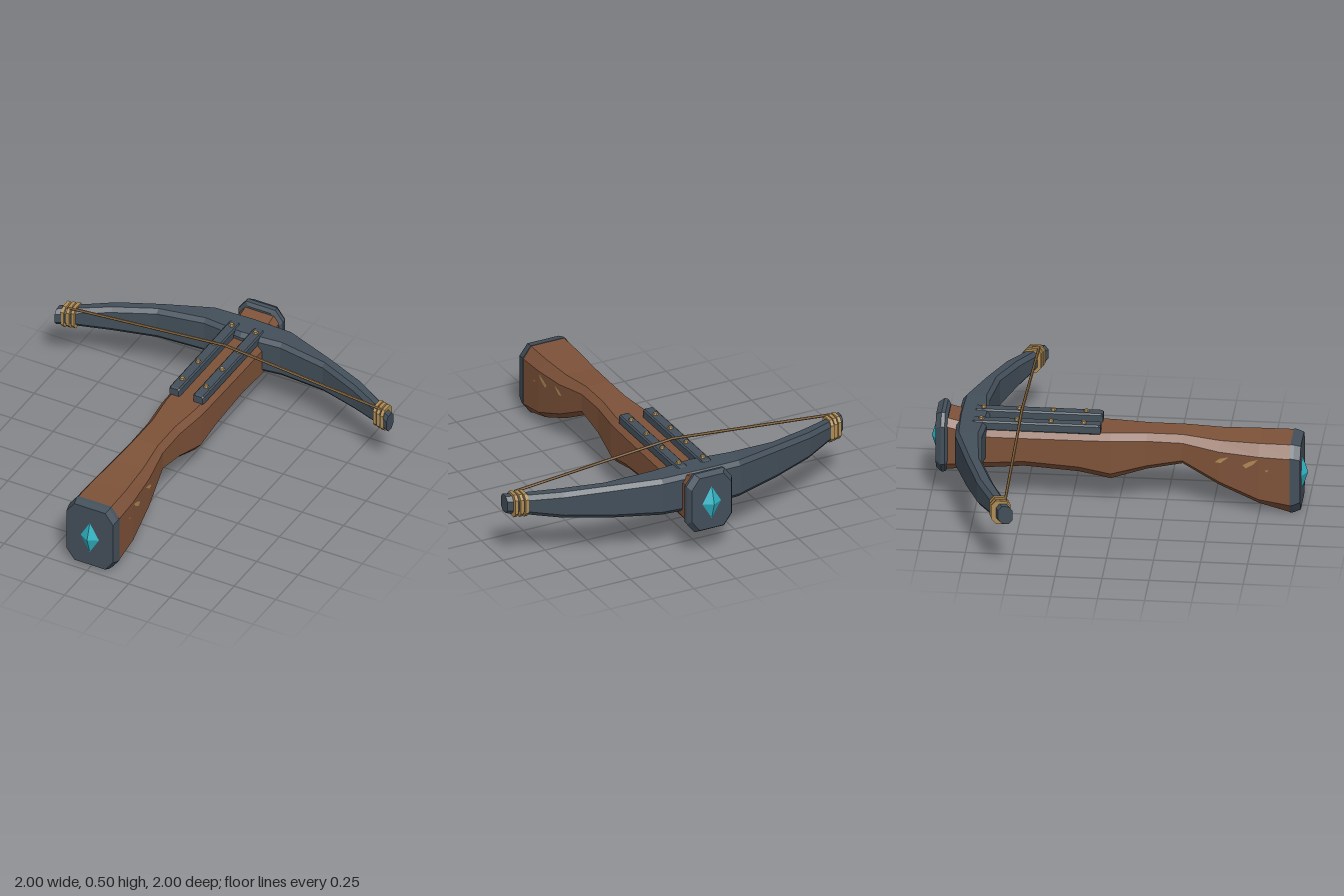
import * as THREE from 'three';

const mat = (name, color, extra = {}) => {
  const m = new THREE.MeshStandardMaterial({ color, flatShading: true, ...extra });
  m.name = name;
  return m;
};

// Eight-cornered section: spans a0..a1 and b0..b1 with cut corners (anticlockwise)
const octagon = (a0, a1, b0, b1, ca, cLow, cHigh = cLow) => [
  [a0 + ca, b0], [a1 - ca, b0], [a1, b0 + cLow], [a1, b1 - cHigh],
  [a1 - ca, b1], [a0 + ca, b1], [a0, b1 - cHigh], [a0, b0 + cLow],
];

// Faceted skin over rings of [x, y, z] ordered along the axis, closed at both ends
function loft(rings) {
  const pos = [];
  const tri = (...p) => p.forEach((q) => pos.push(...q));
  const n = rings[0].length;
  for (let r = 0; r < rings.length - 1; r++) {
    const a = rings[r], b = rings[r + 1];
    for (let i = 0; i < n; i++) {
      const j = (i + 1) % n;
      tri(a[i], a[j], b[j]);
      tri(a[i], b[j], b[i]);
    }
  }
  const first = rings[0], last = rings[rings.length - 1];
  for (let i = 1; i < n - 1; i++) {
    tri(first[0], first[i + 1], first[i]);
    tri(last[0], last[i], last[i + 1]);
  }
  const g = new THREE.BufferGeometry();
  g.setAttribute('position', new THREE.Float32BufferAttribute(pos, 3));
  g.computeVertexNormals();
  return g;
}
const alongZ = (z, pts) => pts.map(([x, y]) => [x, y, z]);
const alongX = (x, pts) => pts.map(([y, z]) => [x, y, z]);

// Stock stations: z, half width, bottom, top, side cut, lower cut, upper cut
const STOCK = [
  [-0.93, 0.115, 0.17, 0.475, 0.03, 0.04, 0.04],
  [-0.85, 0.115, 0.178, 0.455, 0.03, 0.04, 0.04],
  [-0.7, 0.125, 0.195, 0.42, 0.03, 0.04, 0.035],
  [-0.5, 0.125, 0.213, 0.42, 0.03, 0.038, 0.035],
  [-0.21, 0.122, 0.192, 0.42, 0.03, 0.038, 0.035],
  [-0.04, 0.118, 0.157, 0.42, 0.03, 0.038, 0.035],
  [0.15, 0.097, 0.212, 0.42, 0.03, 0.03, 0.035],
  [0.34, 0.097, 0.252, 0.42, 0.03, 0.028, 0.038],
  [0.54, 0.125, 0.142, 0.402, 0.04, 0.035, 0.05],
  [0.75, 0.142, 0.052, 0.4, 0.045, 0.04, 0.06],
  [0.92, 0.146, 0.005, 0.4, 0.047, 0.06, 0.065],
];
const stockHalfWidth = (z) => {
  const k = STOCK.findIndex((s) => s[0] >= z);
  const [a, b] = [STOCK[k - 1], STOCK[k]];
  return THREE.MathUtils.lerp(a[1], b[1], (z - a[0]) / (b[0] - a[0]));
};

export function createModel() {
  const group = new THREE.Group();
  group.name = 'crossbow';
  const wood = mat('wood', 0x7e5239);
  const metal = mat('dark metal', 0x434f5a);
  const gold = mat('gold', 0xb08d55);
  const cord = mat('cord', 0x926e44);
  const crystal = mat('crystal', 0x2fb4c4);
  const scratch = mat('pale wood', 0xae8a55, { side: THREE.DoubleSide });

  const add = (name, geometry, material, x = 0, y = 0, z = 0) => {
    const m = new THREE.Mesh(geometry, material);
    m.name = name;
    m.position.set(x, y, z);
    group.add(m);
    return m;
  };

  // Wooden stock
  add('stock', loft(STOCK.map(([z, w, y0, y1, ca, lo, hi]) =>
    alongZ(z, octagon(-w, w, y0, y1, ca, lo, hi)))), wood);

  // Metal end plates
  const plate = (name, rows) => add(name, loft(rows.map(([z, w, y0, y1]) =>
    alongZ(z, octagon(-w, w, y0, y1, 0.047, 0.062)))), metal);
  plate('buttPlate', [[0.915, 0.148, 0.003, 0.403], [0.935, 0.147, 0.008, 0.4], [0.97, 0.14, 0.022, 0.39]]);
  plate('nosePlate', [[-0.97, 0.118, 0.175, 0.485], [-0.94, 0.135, 0.155, 0.502],
    [-0.92, 0.135, 0.158, 0.498], [-0.905, 0.118, 0.175, 0.48]]);

  // Crystals set into both plates
  const gem = new THREE.OctahedronGeometry(1).scale(0.055, 0.095, 0.03);
  add('rearCrystal', gem, crystal, 0, 0.2, 0.97);
  add('noseCrystal', gem, crystal, 0, 0.328, -0.97);

  // Bow limbs: x, bottom, top, leading z, trailing z
  const half = [
    [0, 0.238, 0.462, -0.862, -0.69],
    [0.23, 0.246, 0.46, -0.855, -0.712],
    [0.5, 0.254, 0.443, -0.77, -0.685],
    [0.73, 0.272, 0.425, -0.69, -0.603],
    [0.92, 0.295, 0.405, -0.593, -0.515],
    [1, 0.3, 0.4, -0.552, -0.475],
  ];
  const limb = [...half.slice(1).reverse().map(([x, ...r]) => [-x, ...r]), ...half];
  add('bow', loft(limb.map(([x, y0, y1, z0, z1]) =>
    alongX(x, octagon(y0, y1, z0, z1, 0.024, 0.02)))), metal);

  // Rails with studs
  for (const s of [-1, 1]) {
    const rail = loft([[-0.775, 0.005], [-0.765, 0], [-0.105, 0], [-0.095, 0.005]].map(([z, d]) =>
      alongZ(z, octagon(-0.032 + d, 0.032 - d, 0.412, 0.467 - d, 0.008, 0.008))));
    add('rail', rail, metal, s * 0.072);
    for (const z of [-0.73, -0.54, -0.36, -0.185])
      add('railStud', new THREE.CylinderGeometry(0.011, 0.016, 0.014, 6), gold, s * 0.072, 0.472, z);
  }

  // Cord wraps near the tips, and the bowstring
  for (const s of [-1, 1]) {
    [0.91, 0.935, 0.962].forEach((x, i) => {
      const zc = -0.556 + i * 0.008;
      const ring = octagon(0.285, 0.417, zc - 0.05, zc + 0.05, 0.026, 0.022);
      add('cordWrap', loft([alongX(s * x - 0.009, ring), alongX(s * x + 0.009, ring)]), gold);
    });
    const from = new THREE.Vector3(s * 0.94, 0.411, -0.52);
    const to = new THREE.Vector3(0, 0.498, -0.52);
    const string = add('bowString', new THREE.CylinderGeometry(0.008, 0.008, from.distanceTo(to), 6), cord);
    string.position.copy(from).lerp(to, 0.5);
    string.quaternion.setFromUnitVectors(new THREE.Vector3(0, 1, 0), to.clone().sub(from).normalize());
  }

  // Pale scratches on both sides of the butt, as [z, y] corners
  const marks = [
    [[0.745, 0.325], [0.7, 0.31], [0.665, 0.288], [0.68, 0.27], [0.72, 0.295]],
    [[0.59, 0.328], [0.54, 0.315], [0.515, 0.293], [0.545, 0.29]],
    [[0.805, 0.266], [0.785, 0.266], [0.79, 0.255]],
  ];
  for (const s of [-1, 1]) {
    for (const m of marks) {
      const p = m.map(([z, y]) => [s * (stockHalfWidth(z) + 0.002), y, z]);
      const pos = [];
      for (let i = 1; i < p.length - 1; i++) pos.push(...p[0], ...p[i], ...p[i + 1]);
      const g = new THREE.BufferGeometry();
      g.setAttribute('position', new THREE.Float32BufferAttribute(pos, 3));
      g.computeVertexNormals();
      add('scratch', g, scratch);
    }
  }
  return group;
}
